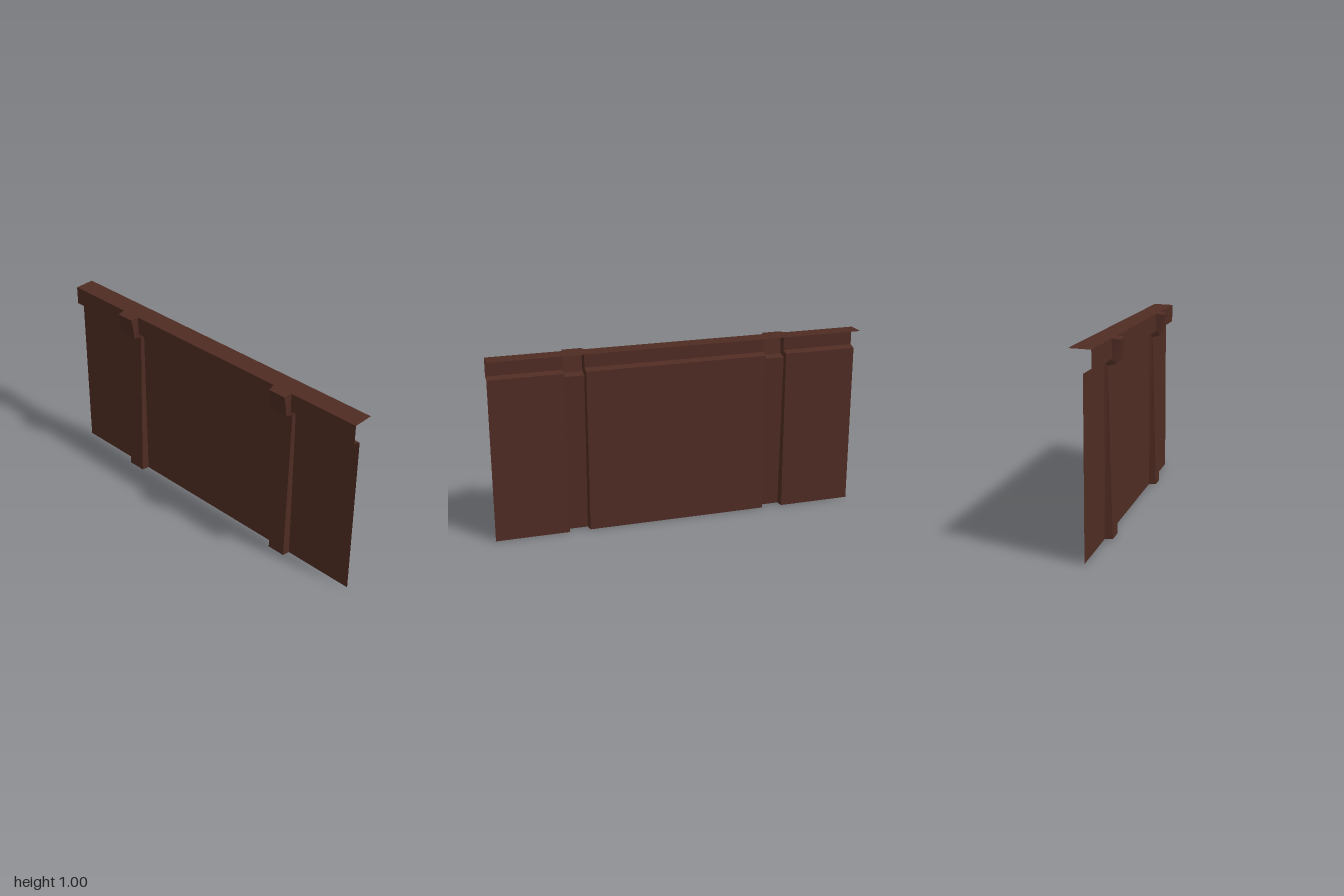
import * as THREE from 'three';

// Side profiles as [z, y], from the foot to the top edge
const WALL = [[-0.006, 0], [-0.006, 0.886], [0.033, 0.897], [0.033, 0.996]];
const RIB = [[0.034, 0], [0.012, 0.863], [0.055, 0.873], [0.075, 0.991]];
const CAP = [[0.033, 0.996], [-0.075, 1]];
const RIB_X = 0.548, BASE_HALF = 0.057, FACE_HALF = 0.051;

// Sheet stretched between two profiles, each at its own x (xa < xb)
function sheet(name, material, profA, xa, profB, xb) {
  const pos = [];
  for (let i = 0; i < profA.length - 1; i++) {
    const p = (prof, x, k) => [x, prof[k][1], prof[k][0]];
    const a = p(profA, xa, i), b = p(profB, xb, i);
    const c = p(profB, xb, i + 1), d = p(profA, xa, i + 1);
    pos.push(...a, ...b, ...c, ...a, ...c, ...d);
  }
  const geo = new THREE.BufferGeometry();
  geo.setAttribute('position', new THREE.Float32BufferAttribute(pos, 3));
  geo.computeVertexNormals();
  const mesh = new THREE.Mesh(geo, material);
  mesh.name = name;
  return mesh;
}

export function createModel() {
  const group = new THREE.Group();
  group.name = 'ribbedPanel';
  const brown = new THREE.MeshStandardMaterial({
    color: 0x4f2c23, side: THREE.DoubleSide, flatShading: true,
  });
  brown.name = 'dark brown';

  // Flat wall sheets with stepped fascia, left open behind the ribs
  const inner = RIB_X - BASE_HALF, outer = RIB_X + BASE_HALF;
  group.add(sheet('rightWall', brown, WALL, -1, WALL, -outer));
  group.add(sheet('middleWall', brown, WALL, -inner, WALL, inner));
  group.add(sheet('leftWall', brown, WALL, outer, WALL, 1));

  // Cap flange running back along the top
  group.add(sheet('topFlange', brown, CAP, -1, CAP, 1));

  // Hollow ribs: tapered front face, two cheeks and a small lid
  for (const [side, x] of [['right', -RIB_X], ['left', RIB_X]]) {
    const rib = new THREE.Group();
    rib.name = side + 'Rib';
    rib.add(sheet('ribFace', brown, RIB, x - FACE_HALF, RIB, x + FACE_HALF));
    rib.add(sheet('ribRightCheek', brown, WALL, x - BASE_HALF, RIB, x - FACE_HALF));
    rib.add(sheet('ribLeftCheek', brown, RIB, x + FACE_HALF, WALL, x + BASE_HALF));
    // The lid widens from the face to the fascia
    const lid = sheet('ribLid', brown, [RIB[3], WALL[3]], x - FACE_HALF, [RIB[3], WALL[3]], x + FACE_HALF);
    const p = lid.geometry.attributes.position;
    for (let i = 0; i < p.count; i++) {
      if (p.getZ(i) < 0.05) p.setX(i, x + Math.sign(p.getX(i) - x) * BASE_HALF);
    }
    lid.geometry.computeVertexNormals();
    rib.add(lid);
    group.add(rib);
  }
  return group;
}
